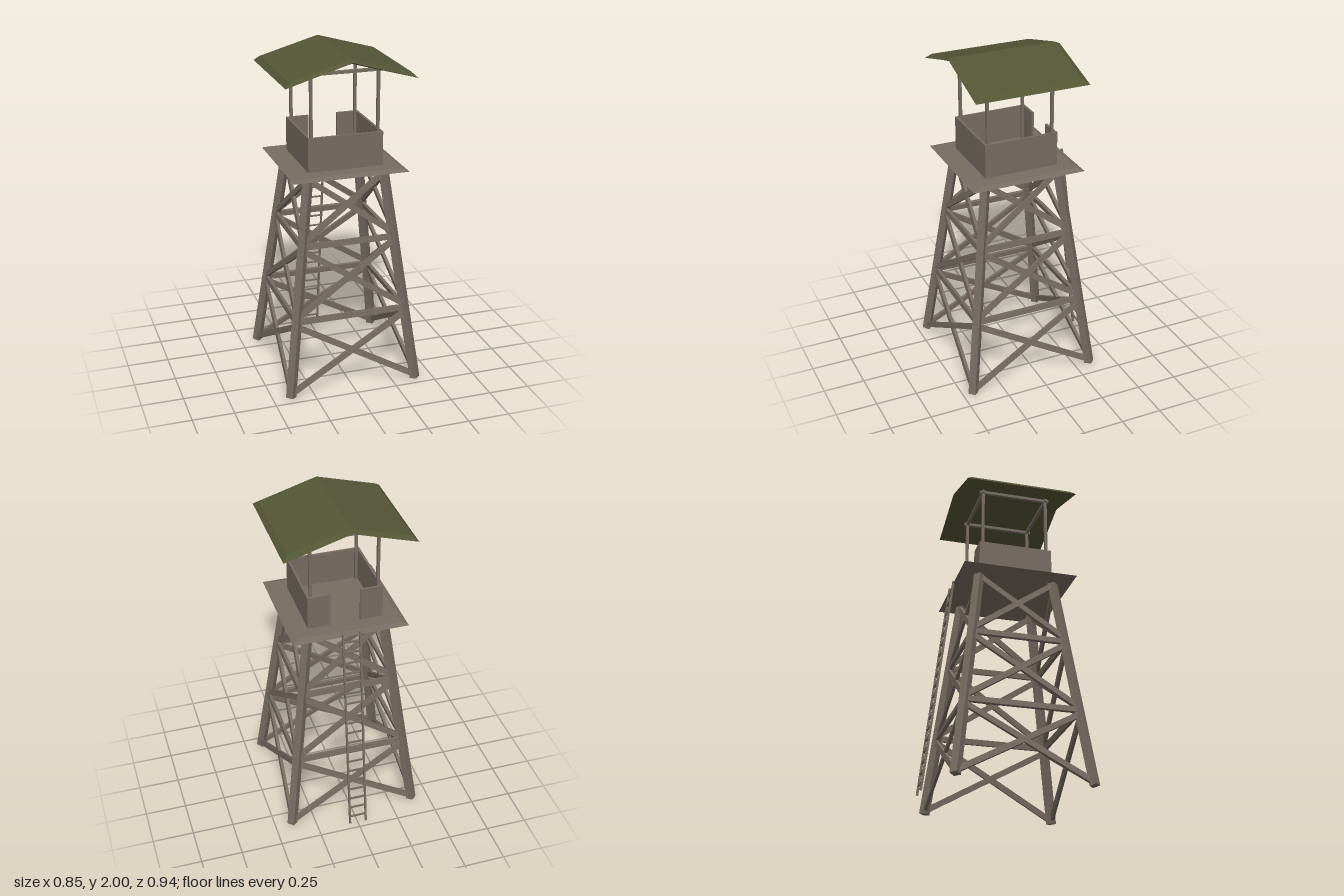
import * as THREE from 'three';

const wood = new THREE.MeshStandardMaterial({ color: 0x766c61 });
wood.name = 'weathered wood';
const green = new THREE.MeshStandardMaterial({ color: 0x535635 });
green.name = 'green roofing';

const V = (x, y, z) => new THREE.Vector3(x, y, z);

function add(parent, name, geometry, material = wood) {
  const mesh = new THREE.Mesh(geometry, material);
  mesh.name = name;
  parent.add(mesh);
  return mesh;
}

function box(parent, name, w, h, d, x, y, z) {
  return add(parent, name, new THREE.BoxGeometry(w, h, d).translate(x, y, z));
}

// Square-cut timber from a to b; w lies across the facing direction, d along it
function beam(parent, name, a, b, w, d, facing) {
  const along = b.clone().sub(a);
  const g = new THREE.BoxGeometry(w, along.length(), d);
  const y = along.normalize();
  const x = y.clone().cross(facing).normalize();
  const z = x.clone().cross(y);
  g.applyMatrix4(new THREE.Matrix4().makeBasis(x, y, z));
  const mid = a.clone().add(b).multiplyScalar(0.5);
  return add(parent, name, g.translate(mid.x, mid.y, mid.z));
}

// Thin sheet with bevelled rim; each ring is [halfX, halfZ, edgeY, ridgeY], bottom first
function sheet(rings) {
  const pos = [];
  for (const [x, z, e, r] of rings) {
    pos.push(-x, e, z, 0, r, z, x, e, z, x, e, -z, 0, r, -z, -x, e, -z);
  }
  const idx = [];
  const quad = (a, b, c, d) => idx.push(a, b, c, a, c, d);
  for (let k = 0; k < rings.length - 1; k++) {
    for (let i = 0; i < 6; i++) {
      const j = (i + 1) % 6, o = k * 6;
      quad(o + i, o + j, o + 6 + j, o + 6 + i);
    }
  }
  const t = (rings.length - 1) * 6;
  quad(t, t + 1, t + 4, t + 5);
  quad(t + 1, t + 2, t + 3, t + 4);
  quad(5, 4, 1, 0);
  quad(4, 3, 2, 1);
  const g = new THREE.BufferGeometry();
  g.setAttribute('position', new THREE.Float32BufferAttribute(pos, 3));
  g.setIndex(idx);
  const flat = g.toNonIndexed();
  flat.computeVertexNormals();
  return flat;
}

export function createModel() {
  const model = new THREE.Group();
  model.name = 'watchtower';
  const tower = new THREE.Group();
  tower.name = 'tower';
  tower.position.z = 0.045;
  model.add(tower);

  // Distance of the leg centre lines from the axis at height y
  const spread = (y) => 0.393 - 0.126 * y;

  // Four inward-leaning legs, turned to face the diagonals
  for (const sx of [-1, 1]) {
    for (const sz of [-1, 1]) {
      const p = (y) => V(sx * spread(y), y, sz * spread(y));
      beam(tower, 'leg', p(0.004), p(1.315), 0.045, 0.045, V(sx, 0, sz));
    }
  }

  // Bracing: the same frame on each of the four sides
  const tiers = [[0.03, 0.43], [0.49, 0.88], [0.94, 1.29]];
  for (let side = 0; side < 4; side++) {
    const frame = new THREE.Group();
    frame.name = 'sideBracing';
    frame.rotation.y = side * Math.PI / 2;
    tower.add(frame);
    const out = V(0, 0.125, 1);
    const at = (s, y) => V(s * (spread(y) - 0.01), y, spread(y) + 0.003);
    for (const [low, high] of tiers) {
      for (const s of [-1, 1]) {
        beam(frame, 'crossBrace', at(s, low), at(-s, high), 0.034, 0.018, out);
      }
    }
    for (const y of [0.462, 0.907]) {
      beam(frame, 'horizontalBrace', at(-1, y), at(1, y), 0.034, 0.02, out);
    }
  }

  // Platform
  add(tower, 'platform', sheet([
    [0.29, 0.29, 1.31, 1.31],
    [0.345, 0.345, 1.322, 1.322],
    [0.31, 0.31, 1.336, 1.336],
  ]));

  // Parapet with an entrance gap at the back
  const wallY = 1.436, wallH = 0.208, t = 0.014;
  box(tower, 'frontWall', 0.45, wallH, t, 0, wallY, 0.218);
  for (const s of [-1, 1]) {
    box(tower, 'sideWall', t, wallH, 0.45 - 2 * t, s * 0.218, wallY, 0);
    box(tower, 'backWall', 0.135, wallH, t, s * 0.1575, wallY, -0.218);
  }

  // Roof posts and the beams joining their tops
  for (const sx of [-1, 1]) {
    for (const sz of [-1, 1]) {
      box(tower, 'roofPost', 0.017, 0.585, 0.017, sx * 0.2, 1.6225, sz * 0.2);
    }
    box(tower, 'endBeam', 0.44, 0.018, 0.018, 0, 1.902, sx * 0.2);
    box(tower, 'sideBeam', 0.018, 0.018, 0.44, sx * 0.2, 1.902, 0);
  }

  // Gabled roof
  add(tower, 'roof', sheet([
    [0.36, 0.315, 1.874, 1.974],
    [0.385, 0.342, 1.87, 1.985],
    [0.355, 0.31, 1.9, 2.0],
  ]), green);

  // Ladder leaning on the back of the platform
  const ladder = new THREE.Group();
  ladder.name = 'ladder';
  tower.add(ladder);
  const ladderZ = (y) => -0.508 + 0.1235 * y;
  const back = V(0, 0, -1);
  for (const s of [-1, 1]) {
    beam(ladder, 'rail', V(s * 0.051, 0.008, ladderZ(0.008)), V(s * 0.051, 1.338, ladderZ(1.338)), 0.011, 0.013, back);
  }
  for (let i = 0; i < 19; i++) {
    const y = 0.06 + i * 0.068;
    box(ladder, 'rung', 0.1, 0.009, 0.009, 0, y, ladderZ(y));
  }

  return model;
}
